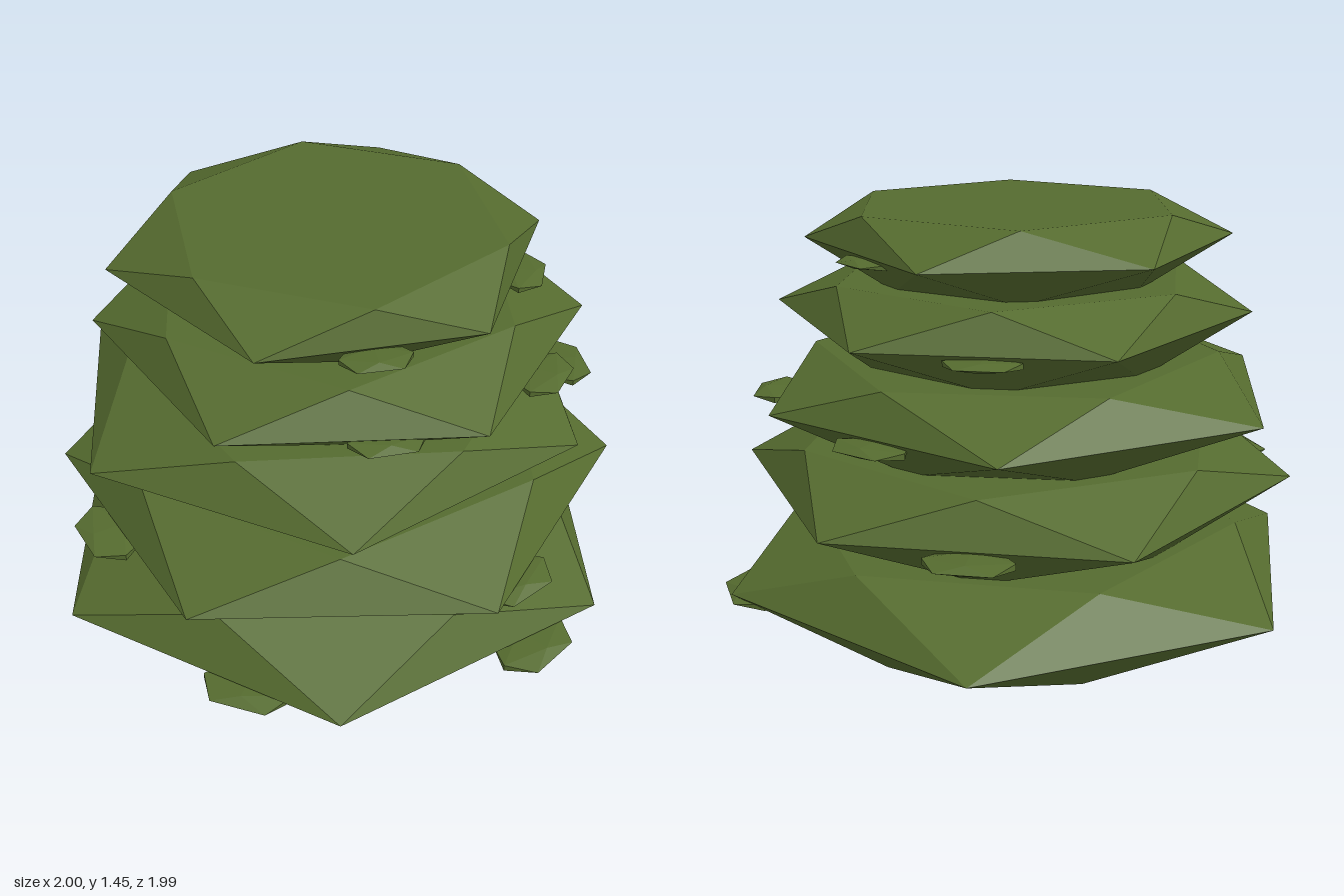
import * as THREE from 'three';

const green = new THREE.MeshStandardMaterial({ color: 0x556b2f, flatShading: true });

// One foliage tier: a wide irregular hexagon between two smaller hexagons turned by half a step
function tierGeometry({ y, rim, turn, bottomR, topR }) {
  const ring = (r, h) => rim.map((_, i) => {
    const a = THREE.MathUtils.degToRad(turn + 30 + i * 60);
    return [r * Math.cos(a), h, r * Math.sin(a)];
  });
  const bottom = ring(bottomR, y[0]);
  const middle = rim.map(([x, z]) => [x, y[1], z]);
  const top = ring(topR, y[2]);
  const pos = [];
  const tri = (...corners) => corners.forEach((c) => pos.push(...c));
  for (let i = 0; i < 6; i++) {
    const j = (i + 1) % 6;
    tri(middle[i], top[i], middle[j]);
    tri(middle[j], top[i], top[j]);
    tri(middle[i], middle[j], bottom[i]);
    tri(middle[j], bottom[j], bottom[i]);
    tri([0, y[2], 0], top[j], top[i]);
    tri([0, y[0], 0], bottom[i], bottom[j]);
  }
  const geo = new THREE.BufferGeometry();
  geo.setAttribute('position', new THREE.Float32BufferAttribute(pos, 3));
  geo.computeVertexNormals();
  return geo;
}

// Rim corners are [x, z], going round from the front left; tufts are [x, z] centres
const tiers = [
  {
    y: [0, 0.215, 0.37], turn: 45, bottomR: 0.64, topR: 0.77,
    rim: [[0.72, 0.69], [-0.26, 0.99], [-1, 0.29], [-0.77, -0.7], [0.21, -0.99], [0.95, -0.3]],
    tufts: [[0.9, -0.03], [0.38, 0.77], [0.25, -0.88]],
  },
  {
    y: [0.34, 0.535, 0.675], turn: 13.5, bottomR: 0.59, topR: 0.74,
    rim: [[0.94, 0.23], [0.29, 0.925], [-0.64, 0.7], [-0.915, -0.21], [-0.26, -0.9], [0.67, -0.69]],
    tufts: [[-0.22, 0.83], [0.86, 0.06], [-0.6, -0.58]],
  },
  {
    y: [0.65, 0.83, 0.96], turn: 40.5, bottomR: 0.55, topR: 0.69,
    rim: [[0.67, 0.59], [-0.17, 0.905], [-0.86, 0.34], [-0.71, -0.55], [0.13, -0.86], [0.81, -0.29]],
    tufts: [[0.46, -0.66], [-0.28, -0.72]],
  },
  {
    y: [0.93, 1.1, 1.22], turn: 11, bottomR: 0.5, topR: 0.62,
    rim: [[0.8, 0.16], [0.27, 0.76], [-0.52, 0.6], [-0.77, -0.17], [-0.24, -0.76], [0.55, -0.61]],
    tufts: [[0.69, -0.23], [0.58, 0.36], [-0.5, -0.46]],
  },
  {
    y: [1.2, 1.345, 1.45], turn: 3, bottomR: 0.45, topR: 0.56,
    rim: [[0.68, 0.04], [0.31, 0.63], [-0.4, 0.61], [-0.73, -0.01], [-0.4, -0.62], [0.35, -0.6]],
    tufts: [[0.51, 0.34], [0.5, -0.33], [-0.05, -0.59]],
  },
];

export function createModel() {
  const bush = new THREE.Group();
  bush.name = 'tieredBush';
  const tuftGeo = new THREE.IcosahedronGeometry(1, 0);

  tiers.forEach((t, i) => {
    const tier = new THREE.Mesh(tierGeometry(t), green);
    tier.name = `foliageTier${i + 1}`;
    bush.add(tier);

    // Thin leaf tufts tucked just under the rim, lying along its edge
    t.tufts.forEach(([x, z]) => {
      const tuft = new THREE.Mesh(tuftGeo, green);
      tuft.name = 'leafTuft';
      const s = 1 - i * 0.07;
      tuft.scale.set(0.11 * s, 0.022 * s, 0.18 * s);
      tuft.position.set(x, t.y[1] - 0.025, z);
      tuft.rotation.y = -Math.atan2(z, x);
      bush.add(tuft);
    });
  });
  return bush;
}
